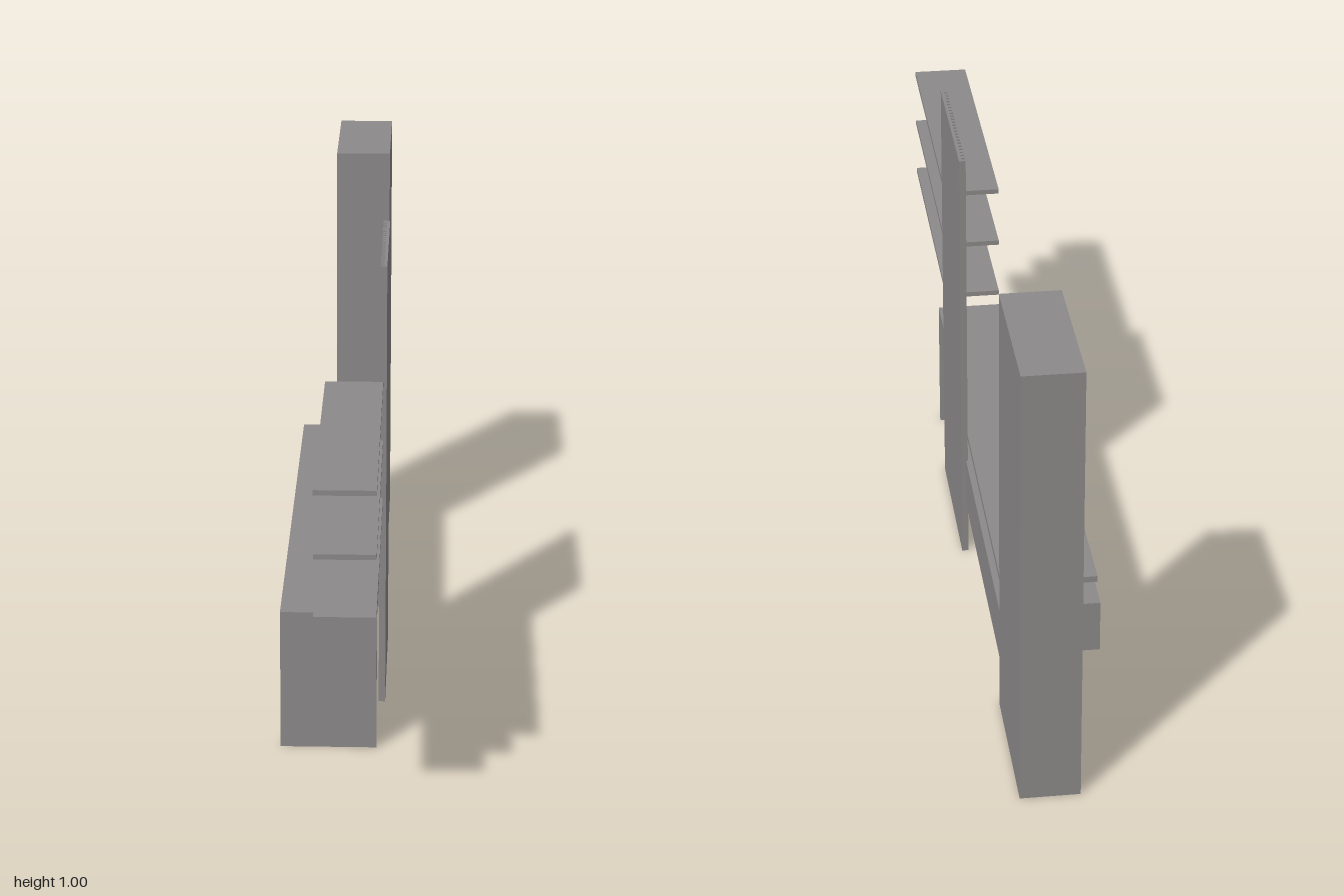
import * as THREE from 'three';

export function createModel() {
  const model = new THREE.Group();
  model.name = 'wallUnit';
  const grey = new THREE.MeshStandardMaterial({ color: 0x8c8989 });
  grey.name = 'warm grey';

  // Box given by its limits along each axis
  function board(parent, name, [x0, x1], [y0, y1], [z0, z1]) {
    const mesh = new THREE.Mesh(new THREE.BoxGeometry(x1 - x0, y1 - y0, z1 - z0), grey);
    mesh.position.set((x0 + x1) / 2, (y0 + y1) / 2, (z0 + z1) / 2);
    mesh.name = name;
    parent.add(mesh);
  }
  function part(name) {
    const g = new THREE.Group();
    g.name = name;
    model.add(g);
    return g;
  }

  // Tall bookcase, open towards -x
  const bookcase = part('bookcase');
  const t = 0.008, front = -0.024, back = 0.103, z0 = -1, z1 = -0.663, zMid = -0.875;
  const depth = [front, back - t];
  board(bookcase, 'backPanel', [back - t, back], [0, 1], [z0, z1]);
  board(bookcase, 'outerSide', depth, [0, 1], [z0, z0 + t]);
  board(bookcase, 'innerSide', depth, [0, 1], [z1 - t, z1]);
  board(bookcase, 'topBoard', depth, [1 - t, 1], [z0 + t, z1 - t]);
  board(bookcase, 'bottomBoard', depth, [0, t], [z0 + t, z1 - t]);
  board(bookcase, 'divider', depth, [t, 1 - t], [zMid - t / 2, zMid + t / 2]);
  for (const y of [0.24, 0.355, 0.57, 0.795])
    board(bookcase, 'narrowShelf', depth, [y - t / 2, y + t / 2], [z0 + t, zMid - t / 2]);
  for (const y of [0.125, 0.235, 0.515, 0.59, 0.77])
    board(bookcase, 'wideShelf', depth, [y - t / 2, y + t / 2], [zMid + t / 2, z1 - t]);

  // Floating low cabinet
  board(model, 'lowCabinet', [-0.1135, 0.103], [0.123, 0.242], [-0.663, 0.07]);

  // Desk resting on an end panel and a short support
  const desk = part('desk');
  board(desk, 'deskTop', [-0.106, 0.099], [0.296, 0.31], [-0.663, 0.564]);
  board(desk, 'deskLeg', [-0.106, 0.099], [0, 0.296], [0.55, 0.564]);
  board(desk, 'deskSupport', [-0.03, 0.09], [0.242, 0.296], [-0.622, -0.614]);

  // Slatted wall panel, slats facing -x
  const panel = part('slattedPanel');
  const p0 = -0.049, p1 = 0.32, count = 24, pitch = (p1 - p0) / (count - 0.4);
  board(panel, 'panelBacking', [0.107, 0.1135], [0, 1], [p0, p1]);
  for (let i = 0; i < count; i++) {
    const z = p0 + i * pitch;
    board(panel, 'slat', [0.099, 0.107], [0, 1], [z, z + pitch * 0.6]);
  }

  // Three floating shelves
  for (const y of [0.468, 0.6, 0.733])
    board(model, 'floatingShelf', [-0.0185, 0.106], [y, y + 0.011], [0.32, 1]);

  return model;
}
